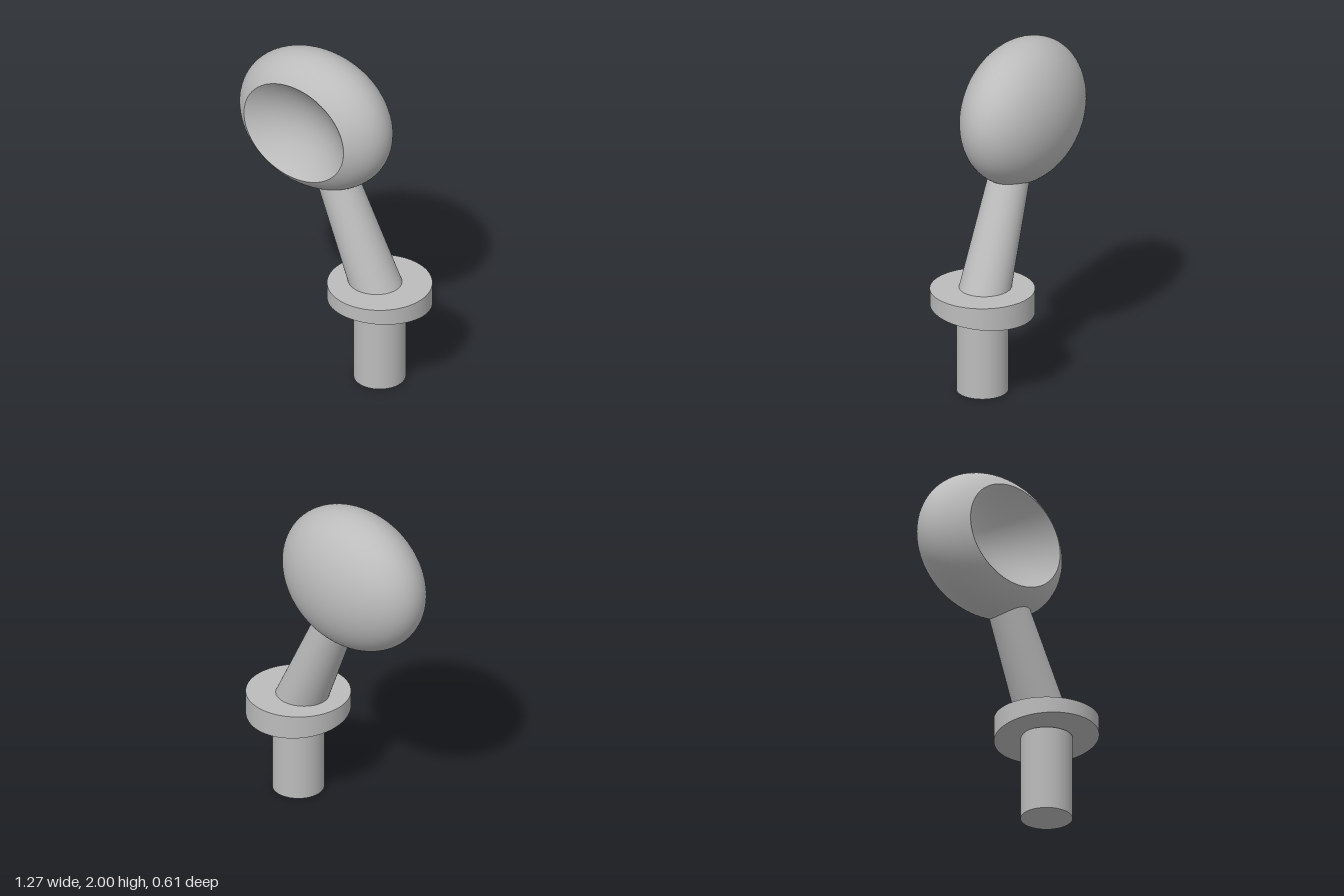
import * as THREE from 'three';

const grey = new THREE.MeshStandardMaterial({ color: 0xbcbcbc });
grey.name = 'plain grey';

function add(group, name, geometry, x = 0, y = 0, z = 0) {
  const mesh = new THREE.Mesh(geometry, grey);
  mesh.name = name;
  mesh.position.set(x, y, z);
  group.add(mesh);
}

// Moves every vertex of a geometry by a rule, then refreshes its normals
function reshape(geometry, rule) {
  const p = geometry.attributes.position, v = new THREE.Vector3();
  for (let i = 0; i < p.count; i++) {
    rule(v.fromBufferAttribute(p, i));
    p.setXYZ(i, v.x, v.y, v.z);
  }
  geometry.computeVertexNormals();
  return geometry;
}

// Revolves a unit profile, turns its axis to +z and stretches it to the head's radii
function headSurface(points) {
  return new THREE.LatheGeometry(points, 96).rotateX(Math.PI / 2).scale(0.505, 0.428, 0.303);
}

export function createModel() {
  const model = new THREE.Group();
  model.name = 'pedestalHead';

  // Straight round post with a flat top
  add(model, 'post', new THREE.CylinderGeometry(0.15, 0.15, 0.51, 64), 0.33, 0.255, 0);

  // Round flange whose underside rises toward the front
  const flange = reshape(new THREE.CylinderGeometry(0.303, 0.303, 1, 96), (v) => {
    v.y = v.y > 0 ? 0.63 : 0.51 + 0.1 * v.z;
  });
  add(model, 'flange', flange, 0.33, 0, 0);

  // Leaning, tapering stem with horizontal elliptical sections
  const stem = reshape(new THREE.CylinderGeometry(1, 1, 1, 64, 1, true), (v) => {
    const t = v.y + 0.5;
    v.set(0.3 - 0.312 * t + v.x * (0.16 - 0.034 * t), 0.62 + 0.68 * t, v.z * (0.15 - 0.034 * t));
  });
  add(model, 'stem', stem);

  // Ellipsoid head, cut off at the front and hollowed to a shallow dish
  const rimHeight = 0.7, rimRadius = Math.sqrt(1 - rimHeight ** 2), dishDepth = 0.46;
  const rimAngle = Math.asin(rimHeight), shell = [], dish = [];
  for (let i = 0; i <= 48; i++) {
    const a = -Math.PI / 2 + (i / 48) * (rimAngle + Math.PI / 2);
    shell.push(new THREE.Vector2(Math.max(0, Math.cos(a)), Math.sin(a)));
  }
  for (let i = 0; i <= 24; i++) {
    const r = 1 - i / 24;
    dish.push(new THREE.Vector2(rimRadius * r, rimHeight - dishDepth * (1 - r * r)));
  }
  const head = new THREE.Group();
  head.name = 'head';
  head.position.set(-0.13, 1.572, 0);
  add(head, 'headShell', headSurface(shell));
  add(head, 'headDish', headSurface(dish));
  model.add(head);

  return model;
}
